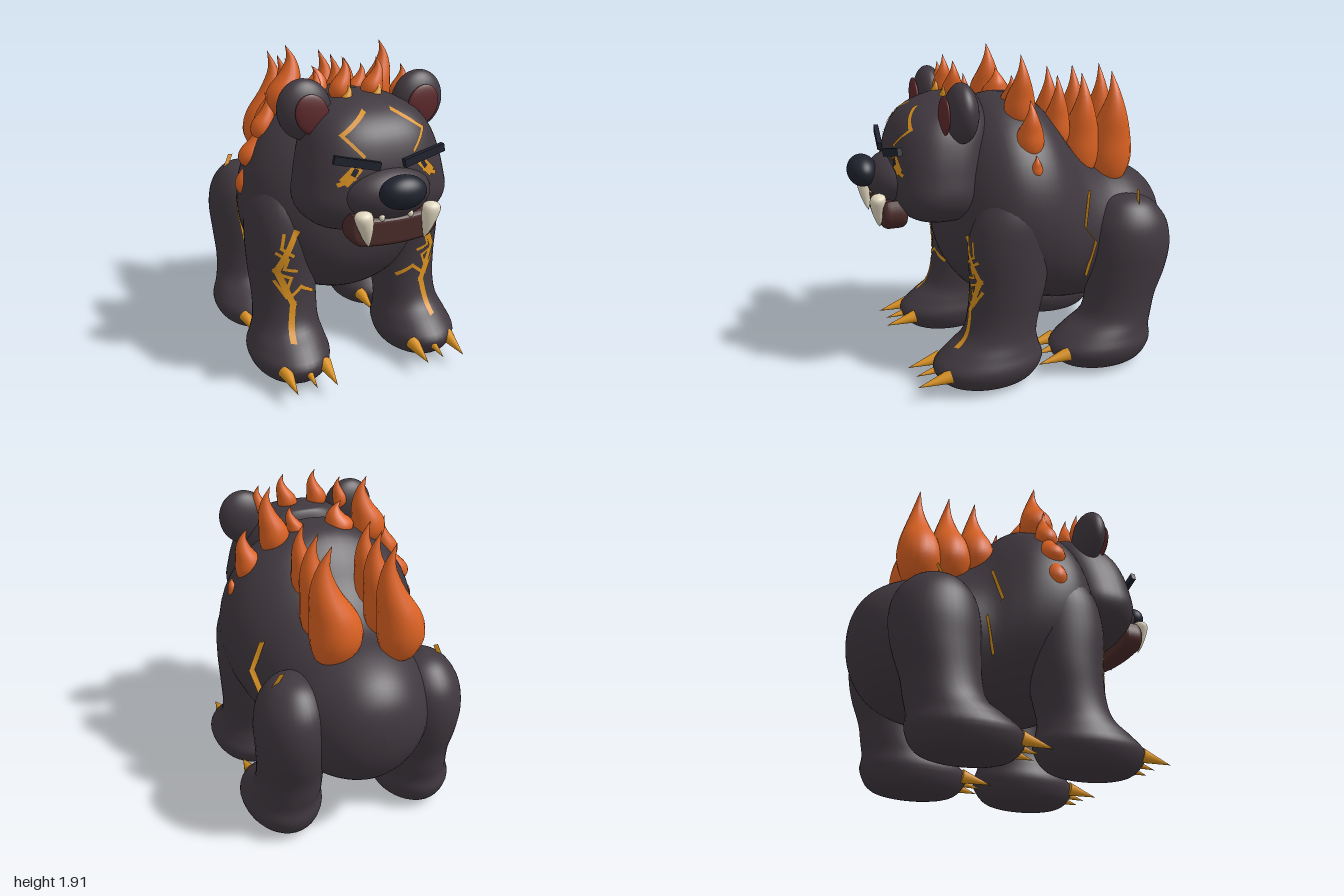
import * as THREE from 'three';

const paint = (name, color, side = THREE.FrontSide) => {
  const m = new THREE.MeshStandardMaterial({ color, side });
  m.name = name;
  return m;
};

// Smooth closed tube of rings; rows are [y, cx, cz, rx, rz], y ascending; square < 1 makes rings boxier
function loft(rows, rings = 36, seg = 36, square = 1) {
  const mid = new THREE.CatmullRomCurve3(rows.map(r => new THREE.Vector3(r[1], r[0], r[2])), false, 'catmullrom', 0.5);
  const rad = new THREE.CatmullRomCurve3(rows.map(r => new THREE.Vector3(r[3], 0, r[4])), false, 'catmullrom', 0.5);
  const bend = v => Math.sign(v) * Math.abs(v) ** square;
  const pos = [], idx = [];
  for (let i = 0; i <= rings; i++) {
    const c = mid.getPoint(i / rings), r = rad.getPoint(i / rings);
    for (let j = 0; j < seg; j++) {
      const a = j / seg * Math.PI * 2;
      pos.push(c.x + Math.max(r.x, 0) * bend(Math.cos(a)), c.y, c.z + Math.max(r.z, 0) * bend(Math.sin(a)));
      if (i < rings) {
        const p = i * seg + j, q = i * seg + (j + 1) % seg;
        idx.push(p, p + seg, q, p + seg, q + seg, q);
      }
    }
  }
  return indexed(pos, idx);
}

function indexed(pos, idx) {
  const g = new THREE.BufferGeometry();
  g.setAttribute('position', new THREE.Float32BufferAttribute(pos, 3));
  g.setIndex(idx);
  g.computeVertexNormals();
  return g;
}

const ball = (x, y, z, rx, ry, rz) => new THREE.SphereGeometry(1, 36, 24).scale(rx, ry, rz).translate(x, y, z);

// Flame tongue with a sideways S-bend
function flame(x, z, y0, y1, r, lean = 0) {
  const shape = [[0, 0], [0.03, 0.55], [0.12, 0.85], [0.25, 1], [0.42, 0.9], [0.62, 0.58], [0.82, 0.25], [1, 0]];
  return loft(shape.map(([t, k]) => [
    y0 + (y1 - y0) * t, x + lean * t - 0.35 * r * Math.sin(t * Math.PI * 2) * (t < 0.5 ? 0.5 : -1) * (t < 0.5 ? 1 : -1),
    z, r * k, r * k]), 24, 18);
}

// Thin strip along a polyline of [x, y], laid from the front onto the targets
function ribbon(points, width, targets, lift = 0.006) {
  const ray = new THREE.Raycaster(), dir = new THREE.Vector3(0, 0, -1), pos = [], idx = [], n = 12;
  const lay = (x, y, last) => {
    const o = new THREE.Vector3(x, y, 3);
    ray.set(o, dir);
    const hit = ray.intersectObjects(targets, false)[0];
    const d = hit ? hit.distance - lift : last;
    return d === undefined ? null : { d, p: o.addScaledVector(dir, d) };
  };
  for (let s = 0; s + 1 < points.length; s++) {
    const a = new THREE.Vector2(...points[s]), b = new THREE.Vector2(...points[s + 1]);
    const t = b.clone().sub(a).normalize().multiplyScalar(width / 2);
    a.sub(t); b.add(t);
    let dl, dr, started = false;
    for (let i = 0; i <= n; i++) {
      const c = a.clone().lerp(b, i / n);
      const l = lay(c.x - t.y, c.y + t.x, dl), r = lay(c.x + t.y, c.y - t.x, dr);
      if (!l || !r) continue;
      dl = l.d; dr = r.d;
      const k = pos.length / 3;
      pos.push(...l.p.toArray(), ...r.p.toArray());
      if (started) idx.push(k - 2, k - 1, k, k - 1, k + 1, k);
      started = true;
    }
  }
  return indexed(pos, idx);
}

// Flat strip through [x, y, z] points, spread along x
function strip(points, width) {
  const pos = [], idx = [];
  points.forEach(([x, y, z], i) => {
    pos.push(x - width / 2, y, z, x + width / 2, y, z);
    if (i) idx.push(2 * i - 2, 2 * i - 1, 2 * i, 2 * i - 1, 2 * i + 1, 2 * i);
  });
  return indexed(pos, idx);
}

export function createModel() {
  const model = new THREE.Group();
  const fur = paint('charcoal fur', 0x40383f);
  const orange = paint('flame orange', 0xdc6222);
  const gold = paint('amber gold', 0xd9911f, THREE.DoubleSide);
  const navy = paint('dark navy', 0x20232f, THREE.DoubleSide);
  const maroon = paint('ear maroon', 0x5e292c);
  const brown = paint('mouth brown', 0x4a2b29);
  const cream = paint('tooth cream', 0xe2d8c0);
  const add = (name, geo, mat) => {
    const m = new THREE.Mesh(geo, mat);
    m.name = name;
    model.add(m);
    return m;
  };

  // Body: rows of [z, bottom, top, half width], from rump to chest
  const bodyRows = [
    [-1, 0.79, 0.81, 0], [-0.985, 0.68, 0.92, 0.11], [-0.94, 0.56, 1.02, 0.22], [-0.85, 0.44, 1.11, 0.32],
    [-0.7, 0.36, 1.18, 0.42], [-0.5, 0.32, 1.23, 0.46], [-0.32, 0.315, 1.37, 0.49], [-0.2, 0.33, 1.53, 0.545],
    [-0.08, 0.36, 1.64, 0.595], [0.06, 0.39, 1.67, 0.615], [0.2, 0.43, 1.65, 0.59], [0.33, 0.5, 1.54, 0.5],
    [0.43, 0.63, 1.36, 0.36], [0.48, 0.76, 1.17, 0.2], [0.5, 0.95, 0.97, 0]];
  const body = add('body', loft(bodyRows.map(([z, b, t, w]) =>
    [z, 0, -(b + t) / 2, w, (t - b) / 2]), 56, 48).rotateX(Math.PI / 2), fur);

  // Head, muzzle, mouth and nose
  const head = add('head', loft([
    [0.965, 0, 0.5, 0, 0], [0.975, 0, 0.5, 0.18, 0.12], [1.0, 0, 0.51, 0.31, 0.19], [1.07, 0, 0.52, 0.405, 0.25],
    [1.16, 0, 0.52, 0.445, 0.28], [1.27, 0, 0.51, 0.43, 0.285], [1.4, 0, 0.49, 0.4, 0.285], [1.52, 0, 0.46, 0.355, 0.27],
    [1.61, 0, 0.43, 0.285, 0.215], [1.67, 0, 0.38, 0.18, 0.145], [1.69, 0, 0.35, 0.1, 0.09], [1.7, 0, 0.34, 0, 0]], 44, 48, 0.8), fur);
  const muzzle = add('muzzle', ball(0, 1.21, 0.72, 0.26, 0.155, 0.18), fur);
  add('nose', ball(0, 1.265, 0.92, 0.132, 0.092, 0.085), navy);
  const lip = new THREE.Shape();
  lip.moveTo(-0.22, 1.1);
  lip.quadraticCurveTo(-0.26, 1.02, -0.19, 0.985);
  lip.quadraticCurveTo(0, 0.955, 0.19, 0.985);
  lip.quadraticCurveTo(0.26, 1.02, 0.22, 1.1);
  lip.quadraticCurveTo(0, 1.06, -0.22, 1.1);
  add('mouth', new THREE.ExtrudeGeometry(lip, {
    depth: 0.06, bevelSize: 0.028, bevelThickness: 0.04, bevelSegments: 5, curveSegments: 16 }).translate(0, 0, 0.755), brown);

  for (const s of [1, -1]) {
    const side = s > 0 ? 'left' : 'right';
    const mir = pts => pts.map(([x, ...rest]) => [x * s, ...rest]);
    const limb = rows => loft(rows.map(([y, x, ...rest]) => [y, x * s, ...rest]), 48);

    // Face details
    add(side + 'Ear', ball(0, 0, 0, 0.155, 0.17, 0.09).rotateZ(-0.25 * s).translate(0.345 * s, 1.625, 0.42), fur);
    add(side + 'InnerEar', ball(0, 0, 0, 0.095, 0.112, 0.022).rotateZ(-0.35 * s).translate(0.335 * s, 1.615, 0.515), maroon);
    add(side + 'Brow', new THREE.BoxGeometry(0.26, 0.045, 0.028).rotateZ(0.22 * s).rotateY(0.12 * s).translate(0.197 * s, 1.405, 0.78), navy);
    add(side + 'Fang', loft([[0.965, 0.165 * s, 0.865, 0, 0], [1.0, 0.175 * s, 0.87, 0.018, 0.016], [1.07, 0.188 * s, 0.875, 0.04, 0.036],
      [1.13, 0.2 * s, 0.875, 0.052, 0.045], [1.16, 0.2 * s, 0.87, 0.04, 0.035], [1.175, 0.2 * s, 0.87, 0, 0]], 20, 18), cream);
    add(side + 'SmallTooth', ball(0.085 * s, 1.115, 0.855, 0.016, 0.02, 0.016), cream);
    add(side + 'Eye', ribbon(mir([[0.2, 1.36], [0.245, 1.315]]), 0.055, [head, muzzle]), gold);
    add(side + 'EyeCorner', ribbon(mir([[0.21, 1.32], [0.285, 1.29]]), 0.022, [head, muzzle]), gold);
    add(side + 'Pupil', ribbon(mir([[0.2, 1.36], [0.21, 1.345]]), 0.026, [head, muzzle], 0.01), navy);
    add(side + 'ForeheadMark', ribbon(mir([[0.085, 1.63], [0.24, 1.53], [0.15, 1.43]]), 0.018, [head]), gold);

    // Legs flaring into broad feet
    const frontLeg = add(side + 'FrontLeg', limb([
      [0.005, 0.42, 0.31, 0, 0], [0.015, 0.42, 0.31, 0.12, 0.18], [0.055, 0.422, 0.31, 0.2, 0.28], [0.15, 0.425, 0.308, 0.24, 0.335],
      [0.235, 0.42, 0.28, 0.218, 0.285], [0.32, 0.412, 0.235, 0.196, 0.228], [0.44, 0.405, 0.202, 0.193, 0.218],
      [0.62, 0.41, 0.175, 0.2, 0.23], [0.85, 0.425, 0.17, 0.195, 0.245], [1.05, 0.43, 0.15, 0.175, 0.225],
      [1.22, 0.41, 0.12, 0.11, 0.15], [1.32, 0.38, 0.1, 0, 0]]), fur);
    add(side + 'BackLeg', limb([
      [0.005, 0.42, -0.43, 0, 0], [0.015, 0.42, -0.43, 0.12, 0.18], [0.055, 0.422, -0.43, 0.2, 0.28], [0.15, 0.425, -0.43, 0.24, 0.33],
      [0.235, 0.42, -0.47, 0.218, 0.285], [0.32, 0.412, -0.54, 0.196, 0.232], [0.44, 0.408, -0.572, 0.192, 0.225],
      [0.6, 0.41, -0.605, 0.2, 0.25], [0.76, 0.41, -0.62, 0.21, 0.26], [0.9, 0.405, -0.62, 0.195, 0.235],
      [1.0, 0.4, -0.615, 0.145, 0.17], [1.05, 0.4, -0.61, 0.08, 0.1], [1.07, 0.4, -0.61, 0, 0]]), fur);
    for (const [end, z] of [['Front', 0.67], ['Back', -0.07]])
      for (const [x, r, back] of [[0.295, 0.043, 0], [0.41, 0.036, 0.02], [0.535, 0.043, 0]])
        add(side + end + 'Claw', new THREE.ConeGeometry(r, 0.2, 16).rotateX(Math.PI / 2 + 0.18).translate(x * s, 0.122, z - back), gold);

    // Glowing cracks on the front legs
    const cracks = [
      [0.036, [[0.40, 0.915], [0.51, 0.69], [0.425, 0.48], [0.457, 0.29]]],
      [0.018, [[0.47, 0.91], [0.485, 0.83], [0.42, 0.78]]],
      [0.018, [[0.51, 0.8], [0.45, 0.76], [0.47, 0.7], [0.4, 0.68]]],
      [0.018, [[0.5, 0.67], [0.43, 0.64], [0.46, 0.56]]],
      [0.02, [[0.44, 0.52], [0.37, 0.575], [0.285, 0.52]]],
      [0.018, [[0.52, 0.62], [0.46, 0.52]]]];
    for (const [w, pts] of cracks)
      add(side + 'LegCrack', ribbon(mir(pts), w, [frontLeg, body]), gold);

    // Raised crack plates on the flank and thigh
    add(side + 'FlankCrack', strip(mir([[0.47, 1.14, -0.31], [0.525, 0.94, -0.265], [0.5, 0.83, -0.35], [0.475, 0.61, -0.3]]), 0.035), gold);
    add(side + 'ThighCrack', strip(mir([[0.46, 1.11, -0.64], [0.525, 0.98, -0.61]]), 0.03), gold);
  }

  // Flames: [x, z, bottom, tip, radius, lean]
  const flames = {
    headFlame: [[-0.265, 0.38, 1.62, 1.83, 0.05, -0.01], [-0.11, 0.39, 1.64, 1.89, 0.062, 0],
      [0.08, 0.39, 1.64, 1.88, 0.062, 0.015], [0.255, 0.38, 1.62, 1.83, 0.05, 0]],
    shoulderFlame: [[-0.31, 0.05, 1.5, 1.92, 0.105, 0], [-0.11, 0.05, 1.58, 1.79, 0.09, -0.04],
      [0.13, 0.06, 1.58, 1.79, 0.055, 0.03], [0.285, 0.05, 1.51, 1.92, 0.09, 0],
      [0.45, 0.05, 1.38, 1.69, 0.08, -0.02], [0.535, 0.05, 1.28, 1.4, 0.037, -0.01],
      [-0.45, 0.05, 1.37, 1.66, 0.07, 0.01], [-0.525, 0.05, 1.22, 1.5, 0.078, 0.03],
      [-0.56, 0.05, 1.05, 1.34, 0.066, 0.01]],
    backFlame: [[-0.2, -0.31, 1.22, 1.78, 0.115, 0.02], [-0.2, -0.48, 1.14, 1.78, 0.13, 0.03],
      [-0.2, -0.67, 1.09, 1.78, 0.135, 0.03], [0.19, -0.22, 1.34, 1.78, 0.085, -0.01],
      [0.16, -0.39, 1.15, 1.78, 0.13, 0], [0.16, -0.59, 1.09, 1.78, 0.15, 0]],
  };
  for (const [name, list] of Object.entries(flames))
    for (const f of list) add(name, flame(...f), orange);
  for (const x of [-0.1, 0.08])
    add('emberFlame', flame(x, 0.44, 1.63, 1.75, 0.035), gold);

  return model;
}
